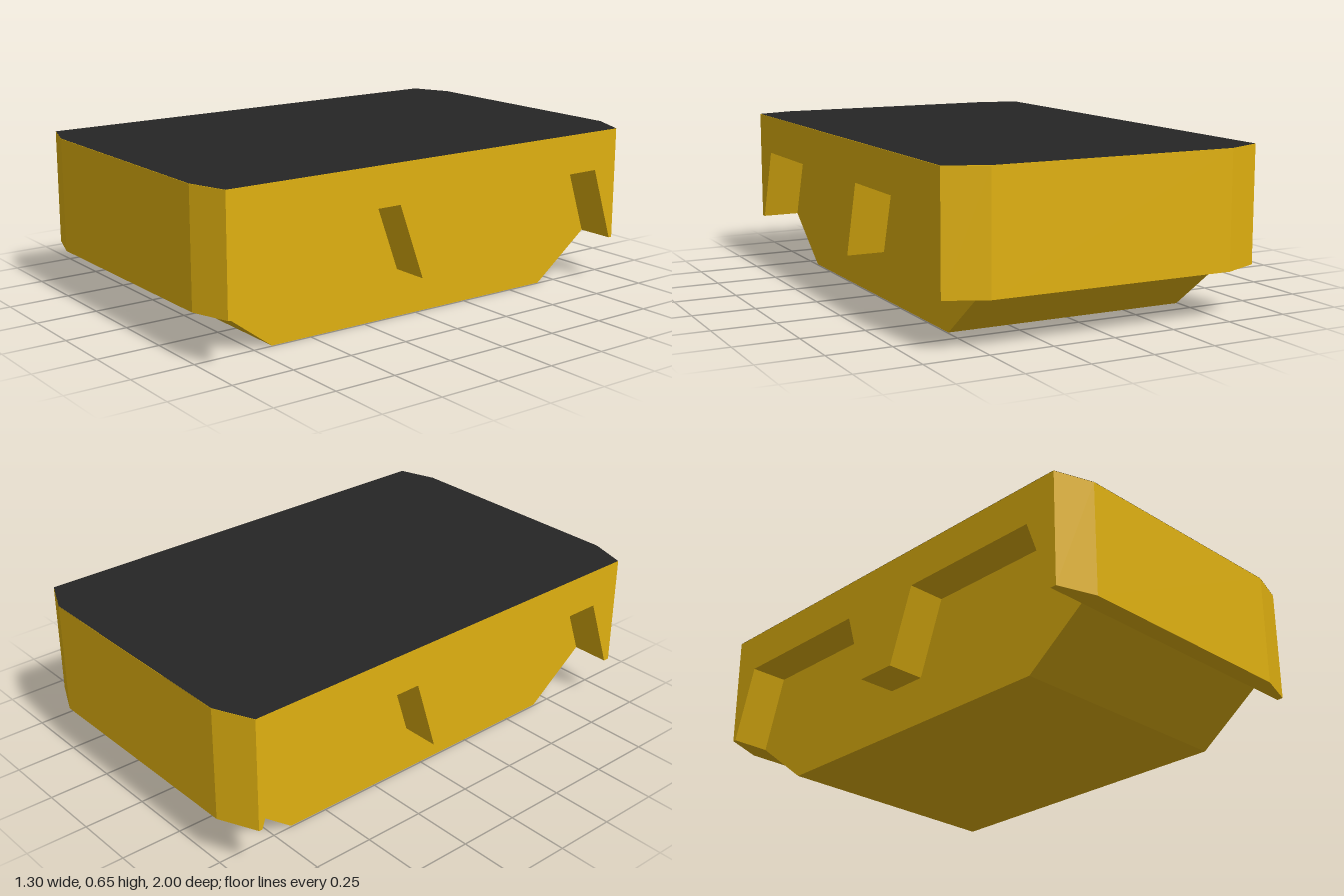
import * as THREE from 'three';

const HULL = 0.495, OUTER = 0.65, TOP = 0.65, SILL = 0.19, ARCH = 0.49;
const yellow = new THREE.MeshStandardMaterial({ color: 0xdfb010, flatShading: true });
const black = new THREE.MeshStandardMaterial({ color: 0x262626, side: THREE.DoubleSide });

const shapeOf = (points) => new THREE.Shape(points.map(([a, b]) => new THREE.Vector2(a, b)));

// Extrudes a (z, y) side profile across the width, from x0 to x1
function sideExtrude(points, x0, x1) {
  const geometry = new THREE.ExtrudeGeometry(shapeOf(points), { depth: x1 - x0, bevelEnabled: false });
  return geometry.rotateY(-Math.PI / 2).translate(x1, 0, 0);
}

// Angles the outer end corners of a side panel inwards
function chamferEnds(geometry) {
  const p = geometry.attributes.position;
  for (let i = 0; i < p.count; i++) {
    if (Math.abs(p.getX(i)) > 0.6 && Math.abs(p.getZ(i)) > 0.99) p.setZ(i, p.getZ(i) > 0 ? 0.95 : -0.93);
  }
  geometry.computeVertexNormals();
  return geometry;
}

export function createModel() {
  const group = new THREE.Group();
  const add = (name, geometry, material) => {
    const mesh = new THREE.Mesh(geometry, material);
    mesh.name = name;
    group.add(mesh);
  };
  const bodyTop = TOP - 0.001;

  // Central hull with sloped underside at both ends
  add('hull', sideExtrude([
    [1, bodyTop], [-1, bodyTop], [-1, SILL], [-0.915, SILL], [-0.665, 0],
    [0.67, 0], [0.925, SILL], [1, SILL],
  ], -HULL, HULL), yellow);

  // Side panels with two trapezoid wheel arches each
  const panel = [
    [1, bodyTop], [-1, bodyTop], [-1, SILL],
    [-0.915, SILL], [-0.815, ARCH], [-0.175, ARCH], [-0.08, SILL],
    [0.09, SILL], [0.2, ARCH], [0.815, ARCH], [0.925, SILL], [1, SILL],
  ];
  add('leftSidePanel', chamferEnds(sideExtrude(panel, HULL, OUTER)), yellow);
  add('rightSidePanel', chamferEnds(sideExtrude(panel, -OUTER, -HULL)), yellow);

  // Dark deck covering the top; outline is drawn as (x, -z)
  const deck = shapeOf([
    [-HULL, -1], [HULL, -1], [OUTER, -0.95], [OUTER, 0.93],
    [HULL, 1], [-HULL, 1], [-OUTER, 0.93], [-OUTER, -0.95],
  ]);
  add('deck', new THREE.ShapeGeometry(deck).rotateX(-Math.PI / 2).translate(0, TOP, 0), black);

  return group;
}
